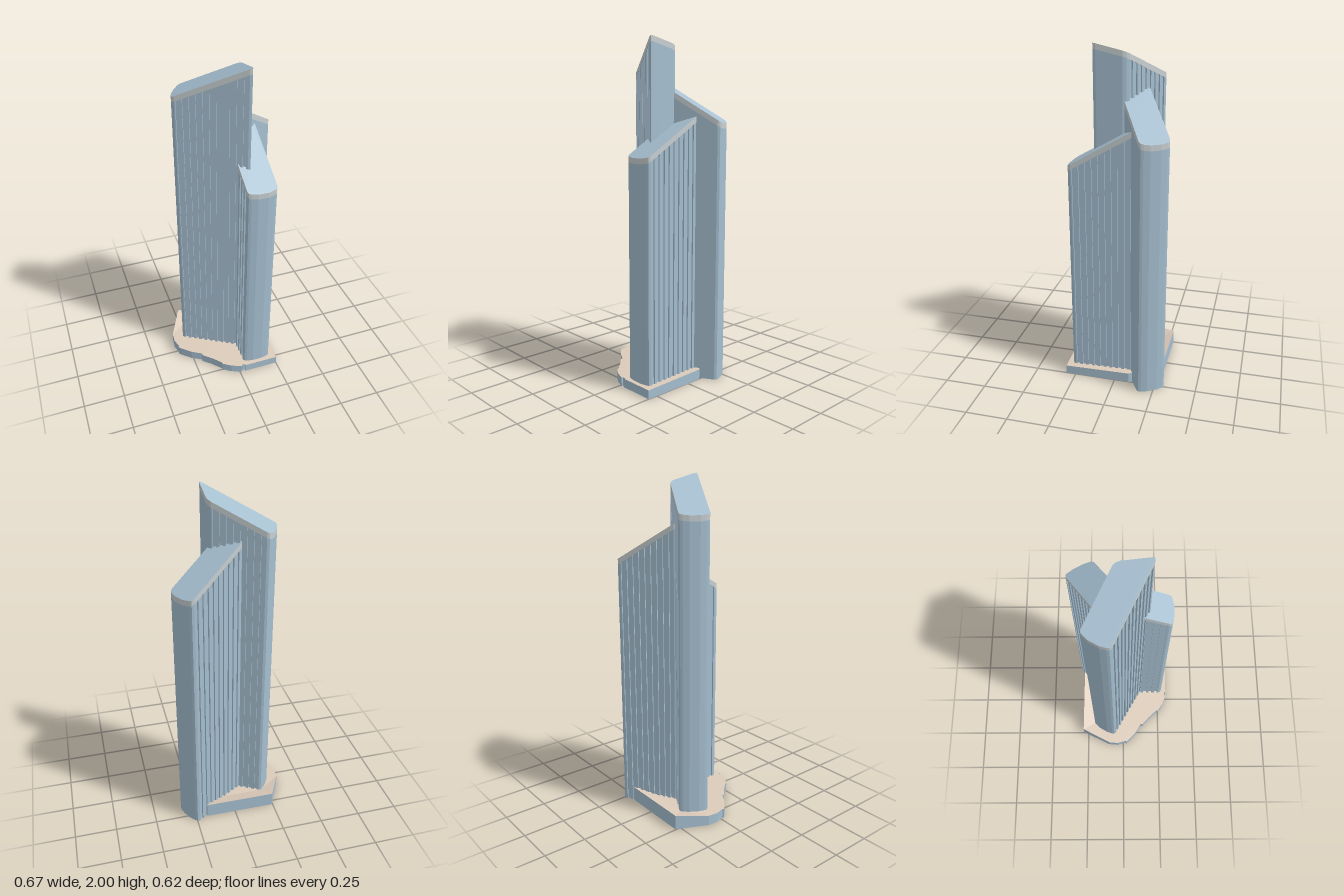
import * as THREE from 'three';

const mat = (name, color, side = THREE.FrontSide) => {
  const m = new THREE.MeshStandardMaterial({ color, side });
  m.name = name;
  return m;
};

// Shape on the ground plane from [x, z] points
const groundShape = pts => new THREE.Shape(pts.map(([x, z]) => new THREE.Vector2(x, -z)));

// Vertical prism whose bottom and top follow height rules
function prism(pts, low, high) {
  const g = new THREE.ExtrudeGeometry(groundShape(pts), { depth: 1, bevelEnabled: false });
  g.rotateX(-Math.PI / 2);
  const p = g.attributes.position;
  for (let i = 0; i < p.count; i++) {
    p.setY(i, (p.getY(i) > 0.5 ? high : low)(p.getX(i), p.getZ(i)));
  }
  g.computeVertexNormals();
  return g;
}

// Grooved run along one long side, listed from s = a to s = b
function grooves(a, b, t, inward) {
  const out = [], n = Math.max(1, Math.round(Math.abs(b - a) / 0.037)), step = (b - a) / n;
  for (let i = 0; i < n; i++) {
    const s = a + i * step;
    out.push([s + step * 0.3, t], [s + step * 0.3, t + inward], [s + step * 0.8, t + inward], [s + step * 0.8, t]);
  }
  return out;
}

// Tower wing: s runs outwards along dir, t runs across it
function wing(w, wall, trim) {
  const { dir: [dx, dz], t0, t1, in0, in1, out, ribs, height, slope } = w;
  const r = 0.02, tm = (t0 + t1) / 2;
  const toWorld = ([s, t]) => [s * dx - t * dz, s * dz + t * dx];
  const end = [
    [out - r, t0], [out - 0.006, t0 + 0.006], [out, t0 + r], [out + 0.008, tm - 0.03],
    [out + 0.008, tm + 0.03], [out, t1 - r], [out - 0.006, t1 - 0.006], [out - r, t1],
  ];
  const k = (in1 - in0) * r / (t1 - t0);
  const inner = [[in1 + r, t1], [in1 + 0.004, t1 - 0.006], [in1 - k, t1 - r],
    [in0 + k, t0 + r], [in0 + 0.006, t0 + 0.005], [in0 + r, t0]];
  const side0 = ribs[0] ? grooves(in0 + r, out - r, t0, 0.009) : [];
  const side1 = ribs[1] ? grooves(out - r, in1 + r, t1, -0.009) : [];
  const roof = (x, z) => height + (out - (x * dx + z * dz)) * slope;
  const eaves = (x, z) => roof(x, z) - 0.032;

  const group = new THREE.Group();
  group.name = w.name;
  const body = new THREE.Mesh(prism([...side0, ...end, ...side1, ...inner].map(toWorld), () => 0, eaves), wall);
  body.name = 'ribbedBody';
  const cap = new THREE.Mesh(prism([...end, ...inner].map(toWorld), eaves, roof), [wall, trim]);
  cap.name = 'slopedRoof';
  group.add(body, cap);
  return group;
}

// Low podium: open underneath, with its roof ramping up to the back wall
function podium(wall, paving) {
  const back = [[-0.245, -0.283], [0.18, -0.28]];
  const inner = [[-0.195, -0.203], [0.1, -0.2]];
  const rest = [
    [0.2, -0.13], [0.24, -0.11], [0.255, -0.09], [0.25, 0.31], [0.036, 0.31], [0.036, 0.3], [0.014, 0.3],
    [0.014, 0.31], [-0.05, 0.285], [-0.1, 0.25], [-0.1, 0.24], [-0.15, 0.185], [-0.2, 0.14], [-0.2, 0.125],
    [-0.26, 0.09], [-0.31, 0.045], [-0.33, 0.022], [-0.324, 0.015], [-0.34, -0.04], [-0.335, -0.1],
  ];
  const h = (x, z) => (z < -0.25 ? 0.09 : 0.06 - 0.025 * z);
  const group = new THREE.Group();
  group.name = 'podium';

  const pieces = {
    terrace: [inner[0], inner[1], ...rest],
    backRamp: [back[0], back[1], inner[1], inner[0]],
    leftRamp: [back[0], inner[0], rest[rest.length - 1]],
    rightRamp: [back[1], rest[0], inner[1]],
  };
  for (const [name, pts] of Object.entries(pieces)) {
    const g = new THREE.ShapeGeometry(groundShape(pts)).rotateX(-Math.PI / 2).toNonIndexed();
    const p = g.attributes.position;
    for (let i = 0; i < p.count; i++) p.setY(i, h(p.getX(i), p.getZ(i)));
    g.computeVertexNormals();
    const mesh = new THREE.Mesh(g, paving);
    mesh.name = name;
    group.add(mesh);
  }

  // Outer wall strip
  const ring = [...back, ...rest], v = [];
  ring.forEach(([x, z], i) => {
    const [X, Z] = ring[(i + 1) % ring.length];
    v.push(x, 0, z, x, h(x, z), z, X, h(X, Z), Z, x, 0, z, X, h(X, Z), Z, X, 0, Z);
  });
  const g = new THREE.BufferGeometry();
  g.setAttribute('position', new THREE.Float32BufferAttribute(v, 3));
  g.computeVertexNormals();
  const walls = new THREE.Mesh(g, wall);
  walls.name = 'podiumWall';
  group.add(walls);
  return group;
}

export function createModel() {
  const wall = mat('blue grey glass', 0xa6bfd0);
  const wallOpen = wall.clone();
  wallOpen.side = THREE.DoubleSide;
  const trim = mat('pale roof trim', 0xc9d0d2);
  const paving = mat('tan paving', 0xdccbba, THREE.DoubleSide);
  const c = Math.cos(Math.PI / 6);

  const wings = [
    { name: 'tallWing', dir: [-c, -0.5], t0: -0.086, t1: 0.084, in0: -0.165, in1: -0.067, out: 0.274,
      ribs: [true, true], height: 1.81, slope: 0.447 },
    { name: 'backWing', dir: [c, -0.5], t0: -0.147, t1: 0.026, in0: 0, in1: 0, out: 0.374,
      ribs: [true, false], height: 1.53, slope: 0.61 },
    { name: 'frontWing', dir: [0, 1], t0: -0.214, t1: -0.038, in0: -0.14, in1: 0, out: 0.277,
      ribs: [true, true], height: 1.345, slope: 0.587 },
  ];

  const model = new THREE.Group();
  model.name = 'tower';
  for (const w of wings) model.add(wing(w, wall, trim));
  model.add(podium(wallOpen, paving));
  return model;
}
